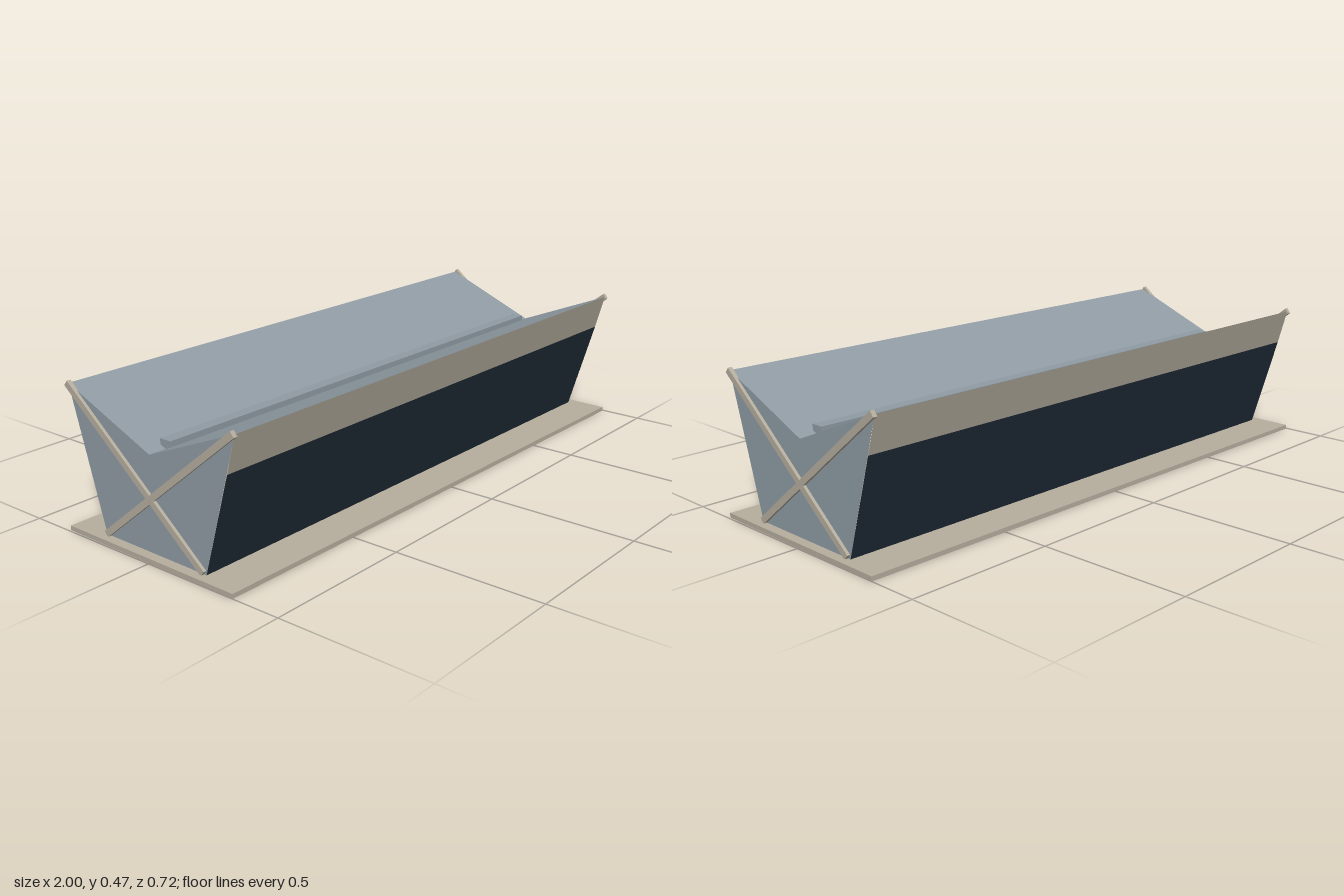
import * as THREE from 'three';

const paint = (name, color) => {
  const m = new THREE.MeshStandardMaterial({ color });
  m.name = name;
  return m;
};

export function createModel() {
  const beige = paint('beige', 0xb6ae9e);
  const slate = paint('slate', 0x8f9ba4);
  const navy = paint('navy', 0x1f2b38);

  const model = new THREE.Group();
  model.name = 'butterflyRoofBuilding';
  const add = (name, geometry, material) => {
    const mesh = new THREE.Mesh(geometry, material);
    mesh.name = name;
    model.add(mesh);
    return mesh;
  };

  const half = 0.965; // half length of the hall
  const base = 0.015; // top of the floor slab

  // Flat panel along the hall between two section points [z, y]
  const panel = (name, [az, ay], [bz, by], material) => {
    const g = new THREE.BufferGeometry();
    g.setAttribute('position', new THREE.Float32BufferAttribute([
      -half, ay, az, half, ay, az, half, by, bz, -half, by, bz], 3));
    g.setIndex([0, 1, 2, 0, 2, 3]);
    g.computeVertexNormals();
    return add(name, g, material);
  };

  // Floor slab
  add('floorSlab', new THREE.BoxGeometry(1.994, base, 0.69), beige).position.y = base / 2;

  // Flared long walls with fascias, and the V-shaped roof
  const foot = 0.212, sill = 0.309, eave = 0.343;
  const sillY = 0.337, eaveY = 0.458, valleyY = 0.318;
  panel('frontWall', [foot, base], [sill, sillY], navy);
  panel('frontFascia', [sill, sillY], [eave, eaveY], beige);
  panel('frontRoof', [eave, eaveY], [0, valleyY], slate);
  panel('backRoof', [0, valleyY], [-eave, eaveY], slate);
  panel('backFascia', [-eave, eaveY], [-sill, sillY], beige);
  panel('backWall', [-sill, sillY], [-foot, base], navy);

  // Box gutter in the roof valley
  add('valleyGutter', new THREE.BoxGeometry(1.81, 0.027, 0.042), slate).position.y = 0.3315;

  // End walls with crossed braces
  const section = new THREE.Shape([
    [-foot, base], [foot, base], [eave, eaveY], [0, valleyY], [-eave, eaveY],
  ].map(([z, y]) => new THREE.Vector2(z, y)));
  for (const side of [1, -1]) {
    const prefix = side > 0 ? 'left' : 'right';
    const wall = add(prefix + 'EndWall', new THREE.ShapeGeometry(section), slate);
    wall.rotation.y = side * Math.PI / 2;
    wall.position.x = side * half;

    for (const lean of [1, -1]) {
      const dz = 0.548, dy = 0.44;
      const brace = add(prefix + 'Brace' + (lean > 0 ? 'Forward' : 'Backward'),
        new THREE.BoxGeometry(0.014, 0.021, Math.hypot(dz, dy)), beige);
      brace.position.set(side * 0.968, 0.24, lean * 0.069);
      brace.rotation.x = -lean * Math.atan2(dy, dz);
    }
  }

  // The whole building is turned very slightly
  model.rotation.y = -0.0095;
  const root = new THREE.Group();
  root.name = 'building';
  root.add(model);
  return root;
}
